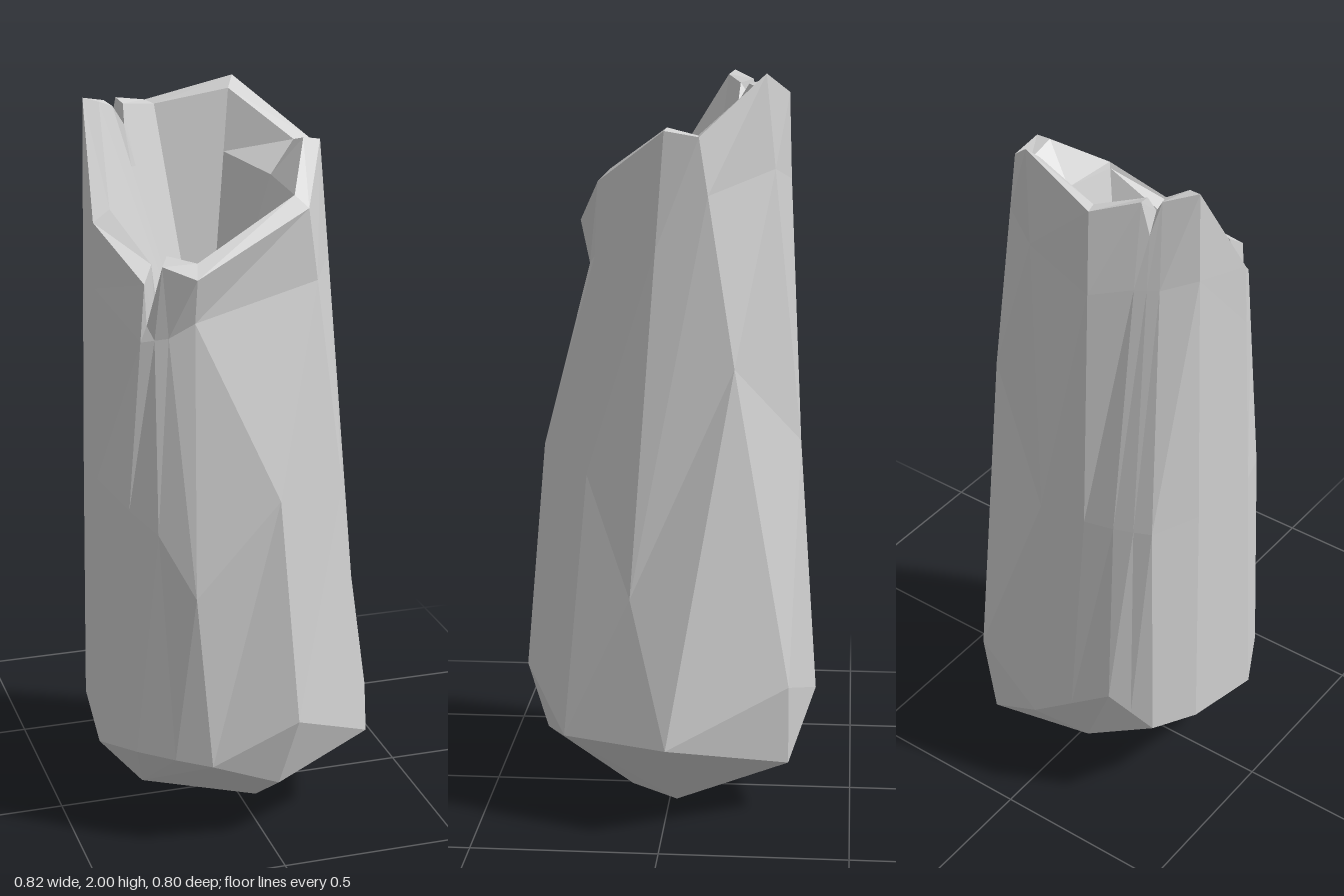
import * as THREE from 'three';

// Cross-sections run from the right side round the front, left and back.
const foot = [
  [0.12, 0, -0.02], [0.12, 0, -0.02], [0.04, 0.01, 0.11], [0.04, 0.01, 0.11], [-0.29, 0.10, 0.1],
  [-0.29, 0.10, 0.1], [-0.29, 0.10, 0.1], [-0.29, 0.10, 0.1], [-0.10, 0.13, -0.26], [-0.10, 0.13, -0.26],
  [-0.10, 0.13, -0.26], [-0.10, 0.13, -0.26], [-0.10, 0.13, -0.26], [0.18, 0.14, -0.33],
];
const heel = [
  [0.41, 0.25, -0.01], [0.31, 0.25, 0.27], [0.03, 0.17, 0.35], [-0.16, 0.25, 0.36], [-0.25, 0.26, 0.31],
  [-0.34, 0.265, 0.24], [-0.41, 0.24, 0.10], [-0.39, 0.28, -0.14], [-0.34, 0.31, -0.28], [-0.29, 0.37, -0.315],
  [-0.24, 0.43, -0.35], [-0.13, 0.36, -0.375], [-0.02, 0.29, -0.40], [0.18, 0.14, -0.33],
];
const belly = heel.map((p) => [...p]);
belly[2] = [0.07, 0.37, 0.40];
belly[13] = [0.22, 0.37, -0.33];
const middle = [
  [0.325, 0.64, 0.09], [0.25, 0.96, 0.21], [0.03, 0.99, 0.35], [-0.20, 0.74, 0.35], [-0.28, 0.9, 0.27],
  [-0.34, 0.95, 0.2], [-0.395, 1.0, 0.07], [-0.38, 1.0, -0.14], [-0.325, 1.0, -0.275], [-0.28, 1.0, -0.295],
  [-0.23, 1.0, -0.315], [-0.15, 1.0, -0.335], [-0.02, 1.0, -0.35], [0.255, 1.25, -0.18],
];
// Broken rim, with a deep crack at the front left and a chip at the back left
const rimOuter = [
  [0.245, 1.865, 0.005], [0.155, 1.725, 0.185], [-0.17, 1.58, 0.27], [-0.25, 1.61, 0.225], [-0.285, 1.45, 0.195],
  [-0.29, 1.56, 0.195], [-0.382, 1.69, 0.035], [-0.36, 1.98, -0.145], [-0.29, 1.96, -0.2], [-0.27, 1.87, -0.222],
  [-0.25, 1.96, -0.23], [-0.15, 1.935, -0.305], [0.08, 2.0, -0.25], [0.247, 1.85, -0.085],
];
const rimInner = [
  [0.2, 1.87, 0], [0.125, 1.755, 0.155], [-0.16, 1.615, 0.235], [-0.23, 1.63, 0.195], [-0.25, 1.45, 0.155],
  [-0.26, 1.6, 0.155], [-0.335, 1.72, 0.025], [-0.32, 1.97, -0.13], [-0.275, 1.95, -0.165], [-0.245, 1.9, -0.16],
  [-0.24, 1.95, -0.19], [-0.135, 1.93, -0.265], [0.06, 1.97, -0.22], [0.2, 1.85, -0.08],
];

const mix = (p, q, t) => p.map((v, k) => v + (q[k] - v) * t);
// Ring part of the way from one cross-section to the next
const between = (a, b, t) => a.map((p, i) => mix(p, b[i], t));
// Ring with every corner at one point
const point = (p) => foot.map(() => p);

// Wall just below the crack and chip
const upper = between(middle, rimOuter, 0.75);
upper[2] = [-0.17, 1.46, 0.245];
upper[3] = [-0.235, 1.42, 0.225];
upper[4] = mix(upper[3], upper[5], 0.5);
upper[9] = mix(upper[8], upper[10], 0.5);

// Ledges inside the rim, above the deep hollow
const hollowFloor = point([-0.06, 1.15, -0.035]);
const throat = between(rimInner, hollowFloor, 0.2);
throat[0] = throat[13] = [0.12, 1.77, -0.03];
throat[1] = [0.12, 1.74, 0.15];
throat[2] = [-0.16, 1.58, 0.18];
throat[3] = throat[4] = throat[5] = [-0.24, 1.44, 0.15];
throat[9] = mix(throat[8], throat[10], 0.5);

// Joins neighbouring cross-sections with flat facets
function skin(rings) {
  const positions = [];
  const addFace = (...corners) => {
    const [a, b, c] = corners.map((p) => new THREE.Vector3(...p));
    if (new THREE.Triangle(a, b, c).getArea() > 1e-6) positions.push(...corners.flat());
  };
  for (let r = 0; r < rings.length - 1; r++) {
    const low = rings[r];
    const high = rings[r + 1];
    for (let i = 0; i < low.length; i++) {
      const j = (i + 1) % low.length;
      addFace(low[i], high[i], low[j]);
      addFace(low[j], high[i], high[j]);
    }
  }
  const geometry = new THREE.BufferGeometry();
  geometry.setAttribute('position', new THREE.Float32BufferAttribute(positions, 3));
  geometry.computeVertexNormals();
  return geometry;
}

export function createModel() {
  const stone = new THREE.MeshStandardMaterial({ color: 0xd0d0d0 });
  stone.name = 'pale grey';
  stone.flatShading = true;

  const model = new THREE.Group();
  model.name = 'hollowBrokenStump';
  const parts = {
    underside: [point([0.04, 0.02, 0]), foot, heel],
    outerWall: [heel, belly, middle, upper, rimOuter],
    brokenRim: [rimOuter, rimInner],
    hollow: [rimInner, throat, hollowFloor],
  };
  for (const [name, rings] of Object.entries(parts)) {
    const mesh = new THREE.Mesh(skin(rings), stone);
    mesh.name = name;
    model.add(mesh);
  }
  return model;
}
